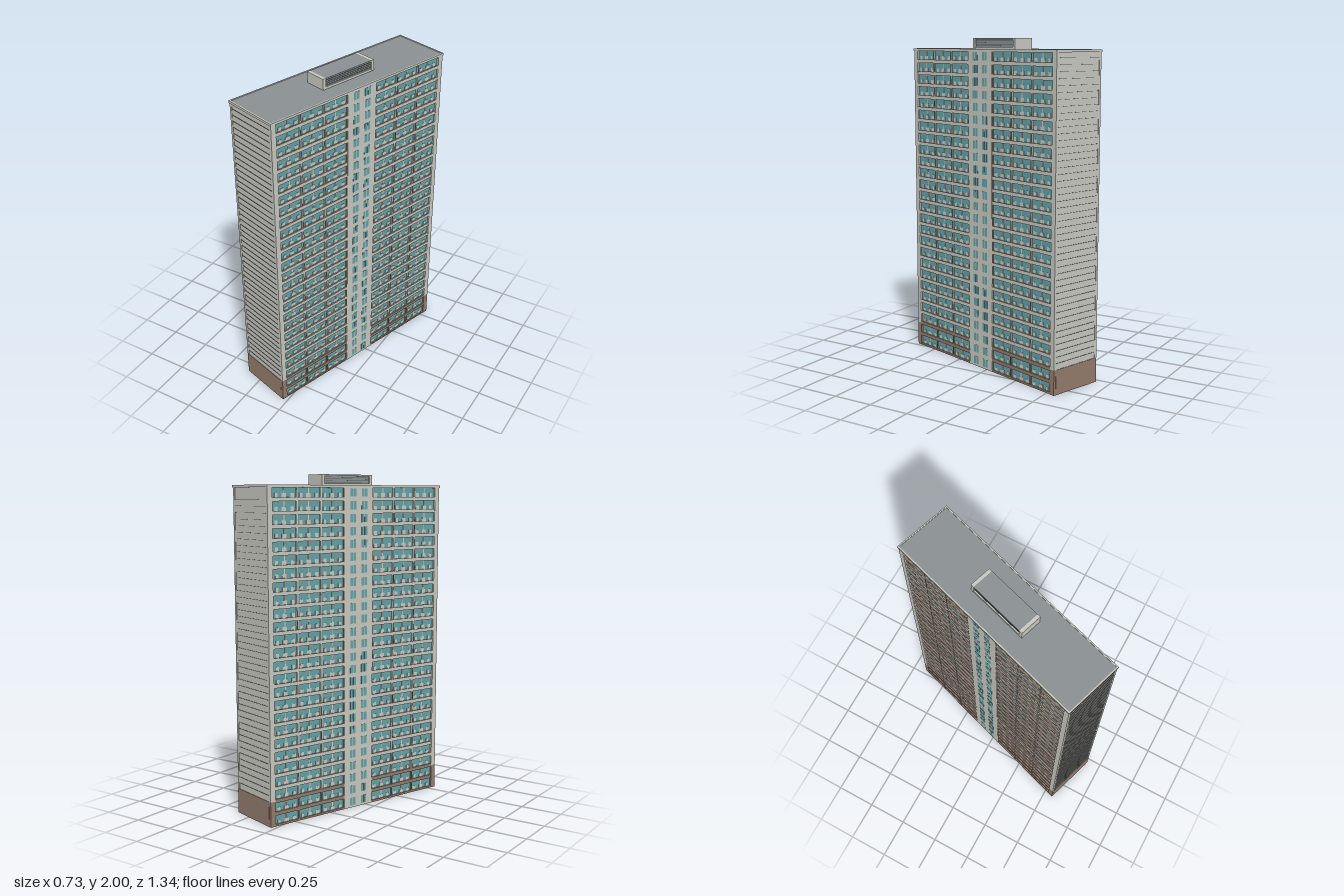
import * as THREE from 'three';
import { mergeGeometries } from 'three/addons/utils/BufferGeometryUtils.js';

const mat = (name, color) => {
  const m = new THREE.MeshStandardMaterial({ color });
  m.name = name;
  return m;
};

export function createModel() {
  const wall = mat('pale concrete', 0xc8c8c0);
  const glass = mat('teal glass', 0x64a0a5);
  const brown = mat('brown cladding', 0x937b6c);
  const roofGrey = mat('roof grey', 0x8a9092);
  const dark = mat('dark joint', 0x55585a);

  const HW = 0.1745, HL = 0.64;      // half width and half length
  const FLOORS = 26, H = 0.0743, TOP = FLOORS * H;
  const IN = 0.106, OUT = 0.607;     // extent of each balcony panel from the middle
  const CORE = 0.162;                // glazing plane

  // Boxes are collected by part and merged into one mesh each
  const parts = new Map();
  const box = (name, material, x0, x1, y0, y1, z0, z1) => {
    const g = new THREE.BoxGeometry(x1 - x0, y1 - y0, z1 - z0);
    g.translate((x0 + x1) / 2, (y0 + y1) / 2, (z0 + z1) / 2);
    if (!parts.has(name)) parts.set(name, { material, list: [] });
    parts.get(name).list.push(g);
    return g;
  };
  // Same box on both long faces, turned half a circle
  const both = (...a) => {
    box(...a);
    box(...a).rotateY(Math.PI);
  };

  // Body
  box('core', wall, -CORE, CORE, 0, TOP, -HL + 0.002, HL - 0.002);
  both('centreStrip', wall, CORE, HW, 0, TOP, -IN, IN);
  const plinthTop = 2 * H;
  for (const s of [1, -1]) {
    const z0 = s > 0 ? OUT : -HL, z1 = s > 0 ? HL : -OUT;
    both('cornerStrips', wall, CORE - 0.003, HW, plinthTop, TOP, z0, z1);
    both('cornerPlinth', brown, CORE - 0.003, HW, 0, plinthTop, z0, z1);

    // End walls: plinth and panel joints
    const e = s * (HL - 0.001);
    box('endPlinth', brown, -0.159, 0.159, 0, plinthTop, e - 0.002, e + 0.002);
    for (let y = plinthTop + H / 2; y < TOP - 0.01; y += H / 2)
      box('endJoints', dark, -0.157, 0.157, y - 0.0007, y + 0.0007, e - 0.0015, e + 0.0015);
  }

  // Facade panels: three bays on each side of the centre strip
  const bay = (OUT - IN) / 3;
  for (const s of [1, -1]) {
    const start = s > 0 ? IN : -OUT, end = start + 3 * bay;
    both('glazing', glass, CORE, CORE + 0.002, 0, TOP, start, end);
    for (let f = 0; f <= FLOORS; f++) {
      const low = f <= 2, y = f * H;
      both(low ? 'plinthBands' : 'floorBands', low ? brown : wall, CORE, HW - 0.001,
        Math.max(0, y - 0.01), Math.min(TOP, y + 0.01), start, end);
      if (f === FLOORS) break;
      // Balcony floor covering
      both('balconyFloors', brown, CORE, HW - 0.002, y + 0.01, y + 0.0115, start, end);
      for (let b = 0; b < 3; b++) {
        const z = start + b * bay, at = (u) => z + (s > 0 ? u : 1 - u) * bay;
        const piece = (name, m, x, y0, y1, u0, u1) => {
          const a = at(u0), c = at(u1);
          both(name, m, CORE, x, y + y0, y + y1, Math.min(a, c), Math.max(a, c));
        };
        // Solid aprons below the windows, with door openings between
        for (const [u0, u1] of [[0.1, 0.24], [0.42, 0.6], [0.76, 0.88]])
          piece('aprons', wall, CORE + 0.004, 0.01, 0.034, u0, u1);
        piece('mullions', wall, CORE + 0.004, 0.01, H - 0.01, 0.49, 0.52);
        // Balcony dividers
        piece('dividers', brown, HW - 0.003, 0.01, H - 0.01, 0, 0.022);
      }
    }
    // Bay posts
    for (let b = 1; b < 3; b++) {
      const z = start + b * bay;
      both('bayPosts', wall, CORE, CORE + 0.008, plinthTop, TOP, z - 0.006, z + 0.006);
      both('plinthPosts', brown, CORE, HW - 0.002, 0, plinthTop, z - 0.004, z + 0.004);
    }
  }

  // Stair windows in the centre strip, two panes each
  for (let f = 0; f < FLOORS; f++)
    for (const c of [-0.042, 0.042])
      for (const p of [-0.0115, 0.0115])
        both('stairWindows', glass, HW - 0.002, HW + 0.001, f * H + 0.014, f * H + 0.062,
          c + p - 0.0095, c + p + 0.0095);

  // Roof with a low rim
  box('roof', roofGrey, -HW + 0.003, HW - 0.003, TOP - 0.002, TOP + 0.003, -HL + 0.003, HL - 0.003);
  for (const s of [1, -1]) {
    const x = s * HW, z = s * HL;
    box('roofRim', wall, x - 0.004, x + 0.004, TOP - 0.008, TOP + 0.006, -HL - 0.004, HL + 0.004);
    box('roofRim', wall, -HW, HW, TOP - 0.008, TOP + 0.006, z - 0.004, z + 0.004);
  }

  // Plant room: pale frame, grey roof and louvred long sides
  const PW = 0.066, PL = 0.189;
  box('plantRoom', roofGrey, -PW + 0.008, PW - 0.008, TOP, 1.996, -PL + 0.01, PL - 0.01);
  box('plantRoof', roofGrey, -PW, PW, 1.995, 2, -PL + 0.02, PL - 0.02);
  for (const s of [1, -1])
    box('plantEnds', wall, -PW, PW, TOP, 2, s > 0 ? PL - 0.02 : -PL, s > 0 ? PL : -PL + 0.02);
  both('plantFrame', wall, PW - 0.01, PW - 0.0005, TOP, 1.948, -PL + 0.02, PL - 0.02);
  both('plantFrame', wall, PW - 0.01, PW - 0.0005, 1.991, 1.995, -PL + 0.02, PL - 0.02);
  for (let i = 0; i < 4; i++)
    both('louvres', dark, PW - 0.009, PW - 0.006, 1.954 + i * 0.01, 1.956 + i * 0.01, -PL + 0.02, PL - 0.02);

  // Merge and turn the block to its plan angle
  const tower = new THREE.Group();
  tower.name = 'tower';
  for (const [name, { material, list }] of parts) {
    const mesh = new THREE.Mesh(mergeGeometries(list), material);
    mesh.name = name;
    tower.add(mesh);
  }
  tower.rotation.y = -0.307;
  const model = new THREE.Group();
  model.name = 'apartmentBlock';
  model.add(tower);
  return model;
}
